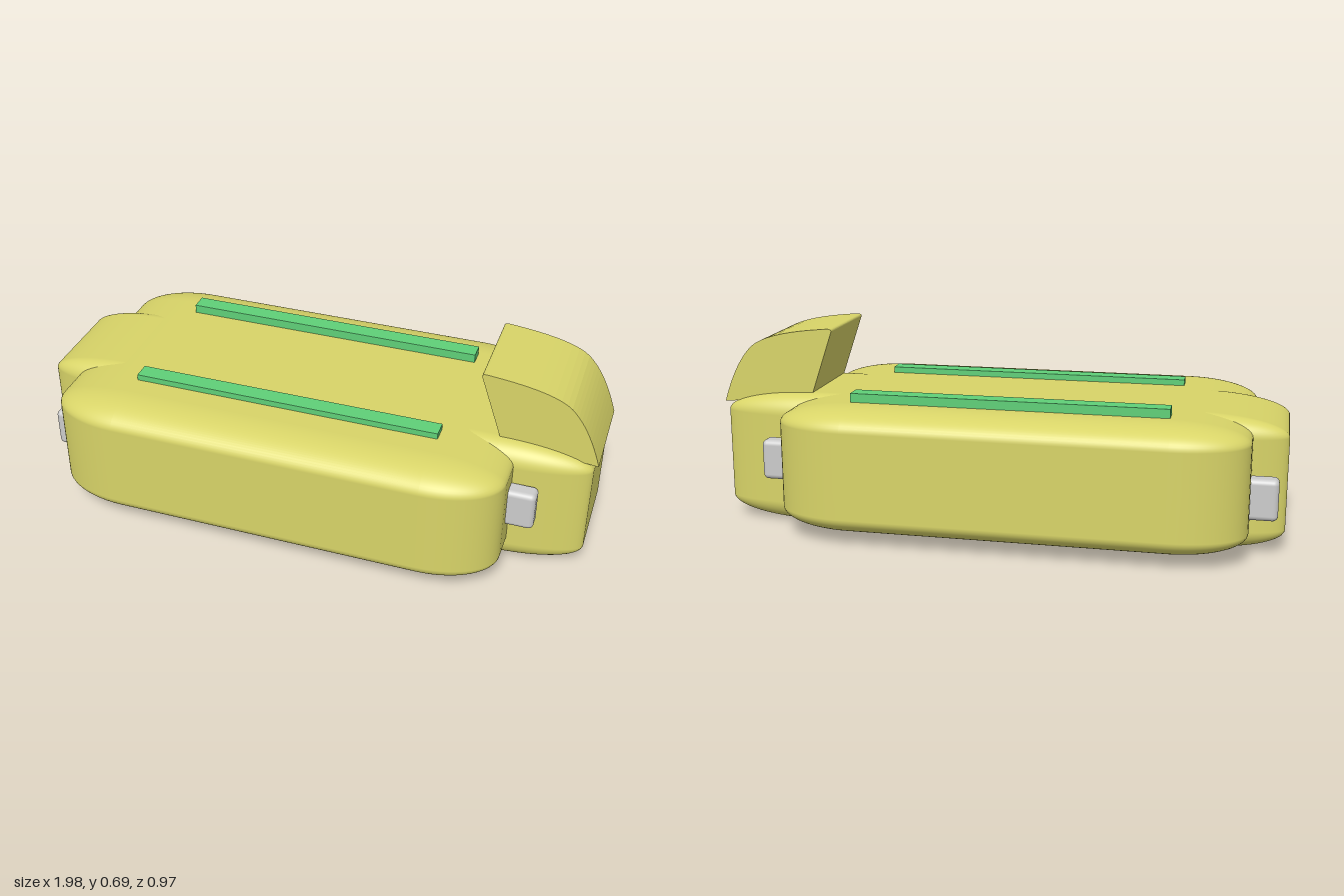
import * as THREE from 'three';
import { RoundedBoxGeometry } from 'three/addons/geometries/RoundedBoxGeometry.js';

const YAW = 0.034; // everything is turned slightly about y

export function createModel() {
  const group = new THREE.Group();
  const yellow = new THREE.MeshStandardMaterial({ color: 0xd8d468 });
  const green = new THREE.MeshStandardMaterial({ color: 0x5fcf78 });
  const grey = new THREE.MeshStandardMaterial({ color: 0xcccccc });

  function add(name, geometry, material, [x, y, z]) {
    const mesh = new THREE.Mesh(geometry, material);
    mesh.name = name;
    mesh.position.set(x, y, z);
    mesh.rotation.y = YAW;
    group.add(mesh);
  }

  // Rounded cube stretched to size, so its corners become elliptical
  const softBox = (w, h, d, r) => new RoundedBoxGeometry(1, 1, 1, 8, r).scale(w, h, d);

  // Two crossing body blocks
  add('wideBody', softBox(1.59, 0.44, 0.93, 0.16), yellow, [-0.08, 0.25, 0]);
  add('longBody', softBox(1.96, 0.466, 0.465, 0.16), yellow, [-0.013, 0.233, -0.016]);

  // Raised flap: side profile extruded across the end of the long body
  const profile = new THREE.Shape();
  profile.moveTo(0.665, 0.45);
  profile.lineTo(0.99, 0.42);
  profile.quadraticCurveTo(0.95, 0.55, 0.895, 0.61);
  profile.bezierCurveTo(0.86, 0.655, 0.76, 0.68, 0.61, 0.693);
  profile.quadraticCurveTo(0.585, 0.697, 0.585, 0.685);
  profile.closePath();
  const flapWidth = 0.335;
  const flap = new THREE.ExtrudeGeometry(profile, { depth: flapWidth, bevelEnabled: false, curveSegments: 10 });
  flap.translate(-0.79, 0, -flapWidth / 2);
  add('flap', flap, yellow, [0.78, 0, -0.043]);

  // Rails on the top
  add('frontRail', new THREE.BoxGeometry(1.08, 0.04, 0.06), green, [-0.07, 0.471, 0.212]);
  add('backRail', new THREE.BoxGeometry(1.08, 0.04, 0.06), green, [-0.08, 0.481, -0.278]);

  // Lugs in the four inner corners
  const lugs = [
    ['frontLeftLug', 0.745, 0.27, 0.217],
    ['backLeftLug', 0.715, 0.25, -0.312],
    ['frontRightLug', -0.87, 0.21, 0.27],
    ['backRightLug', -0.905, 0.21, -0.243],
  ];
  for (const [name, x, y, z] of lugs) {
    add(name, new RoundedBoxGeometry(0.14, 0.14, 0.066, 4, 0.018), grey, [x, y, z]);
  }
  return group;
}
